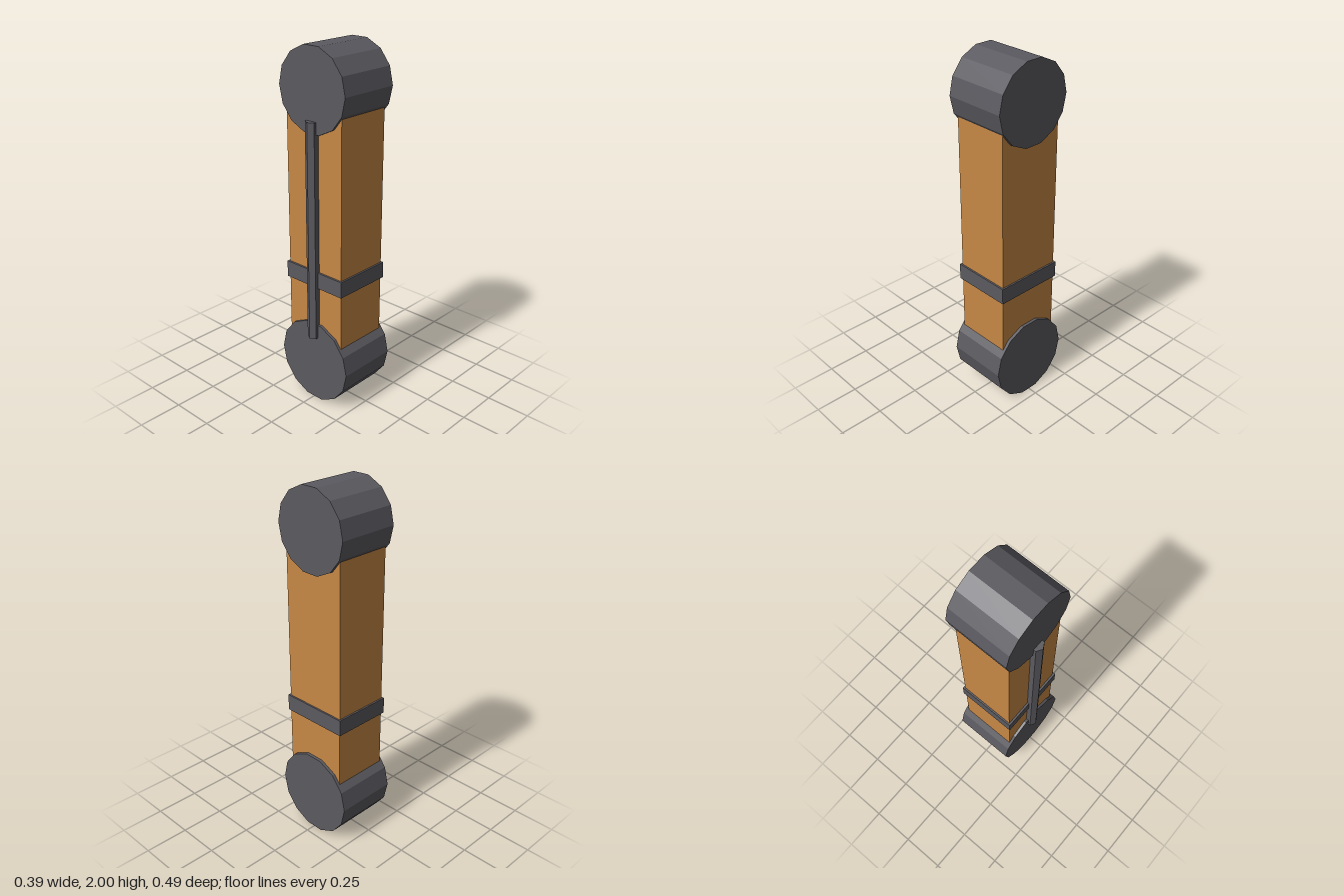
import * as THREE from 'three';

export function createModel() {
  const model = new THREE.Group();
  const wood = new THREE.MeshStandardMaterial({ color: 0xc68845, flatShading: true });
  wood.name = 'wood';
  const metal = new THREE.MeshStandardMaterial({ color: 0x5b5a60, flatShading: true });
  metal.name = 'dark metal';
  const midX = 0.016;

  function add(name, geometry, material, x, y) {
    const mesh = new THREE.Mesh(geometry, material);
    mesh.name = name;
    mesh.position.set(x, y, 0);
    model.add(mesh);
    return mesh;
  }

  // 14-sided end drums lying along x, with a flat side up
  function drum(name, radius, y) {
    const geometry = new THREE.CylinderGeometry(radius, radius, 0.357, 14).rotateZ(Math.PI / 2);
    add(name, geometry, metal, midX, y);
  }
  drum('topDrum', 0.2255, 1.78);
  drum('bottomDrum', 0.2435, 0.2375);

  // Wooden beam between the drum centres
  add('beam', new THREE.BoxGeometry(0.324, 1.54, 0.38), wood, midX - 0.001, 1.01);

  // Strap around the beam
  add('strap', new THREE.BoxGeometry(0.345, 0.093, 0.4), metal, midX - 0.002, 0.748);

  // Hexagonal rod along the right side
  const rod = new THREE.CylinderGeometry(0.037, 0.037, 1.23, 6).rotateY(Math.PI / 2);
  add('sideRod', rod, metal, -0.158, 1.01);

  return model;
}
